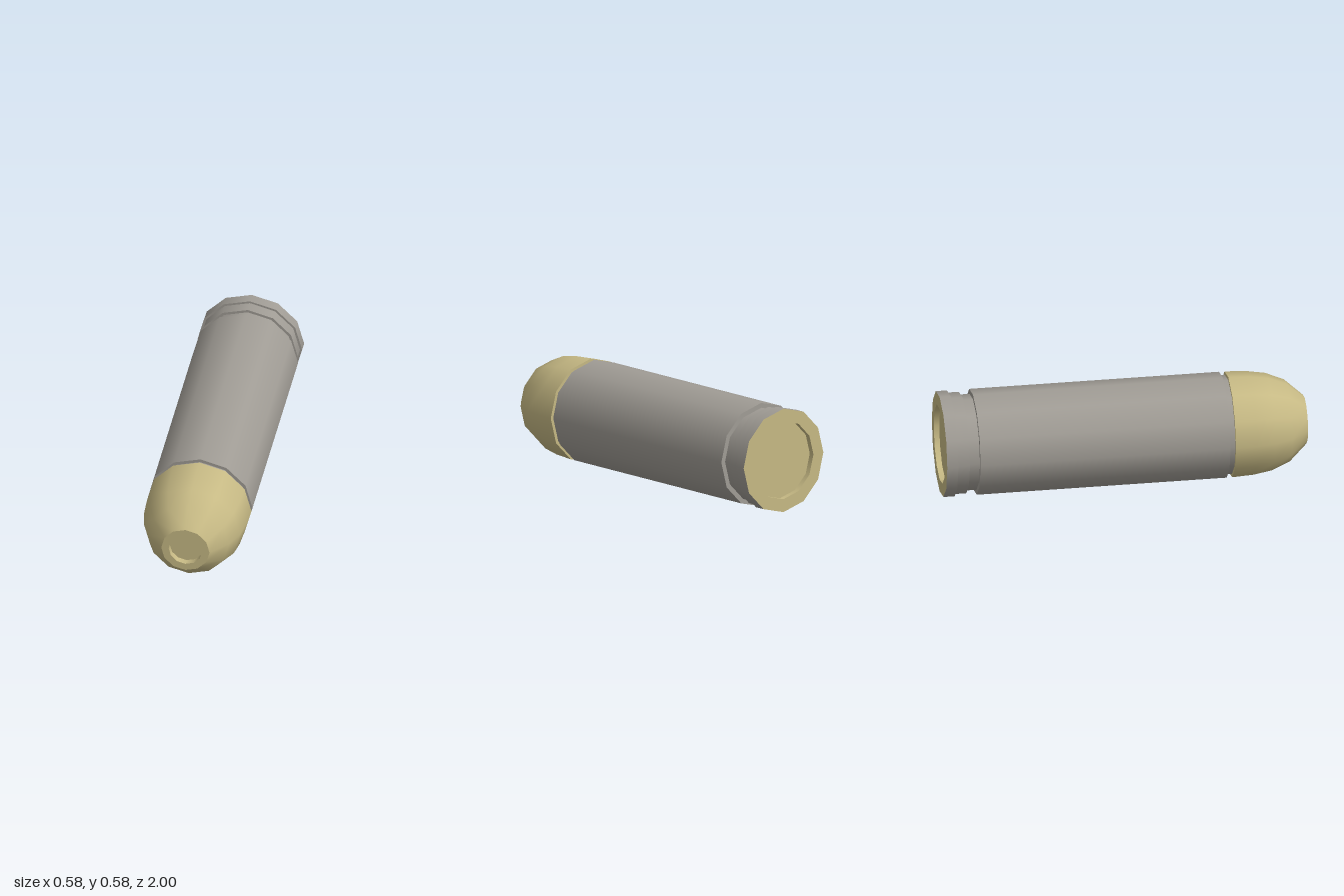
import * as THREE from 'three';
import { mergeGeometries } from 'three/addons/utils/BufferGeometryUtils.js';

const SIDES = 12;
const AXIS_HEIGHT = 0.29;

// Turn runs of [radius, z] points about the z axis; each run is smooth, with hard edges between runs.
// Points go from the back to the front along the outside, so faces point outward.
function turned(name, runs, material) {
  const parts = runs.map((run) =>
    new THREE.LatheGeometry(run.map(([r, z]) => new THREE.Vector2(r, z)), SIDES));
  const geometry = mergeGeometries(parts);
  geometry.rotateX(Math.PI / 2);
  const mesh = new THREE.Mesh(geometry, material);
  mesh.name = name;
  mesh.position.y = AXIS_HEIGHT;
  return mesh;
}

// Split a stepped profile into one straight run per edge
const edges = (points) => points.slice(1).map((p, i) => [points[i], p]);

export function createModel() {
  const steel = new THREE.MeshStandardMaterial({ color: 0xa09c95 });
  steel.name = 'steel grey';
  const brass = new THREE.MeshStandardMaterial({ color: 0xc6b984 });
  brass.name = 'pale brass';

  const model = new THREE.Group();
  model.name = 'cartridge';

  // Flat base with a shallow round recess
  model.add(turned('base', edges([
    [0, -0.97], [0.216, -0.97], [0.216, -1], [0.288, -1],
  ]), brass));

  // Rim, two stepped grooves, long body and narrow neck
  model.add(turned('casing', edges([
    [0.288, -1], [0.288, -0.939], [0.276, -0.939], [0.276, -0.874],
    [0.261, -0.874], [0.261, -0.817], [0.288, -0.817], [0.288, 0.552],
    [0.27, 0.552], [0.27, 0.582],
  ]), steel));

  // Rounded nose with a flat, hollow tip
  model.add(turned('nose', [
    [[0.27, 0.582], [0.288, 0.582]],
    [[0.288, 0.582], [0.282, 0.7], [0.265, 0.803], [0.223, 0.903], [0.133, 1]],
    ...edges([[0.133, 1], [0.092, 1], [0.092, 0.965], [0, 0.965]]),
  ], brass));

  return model;
}
